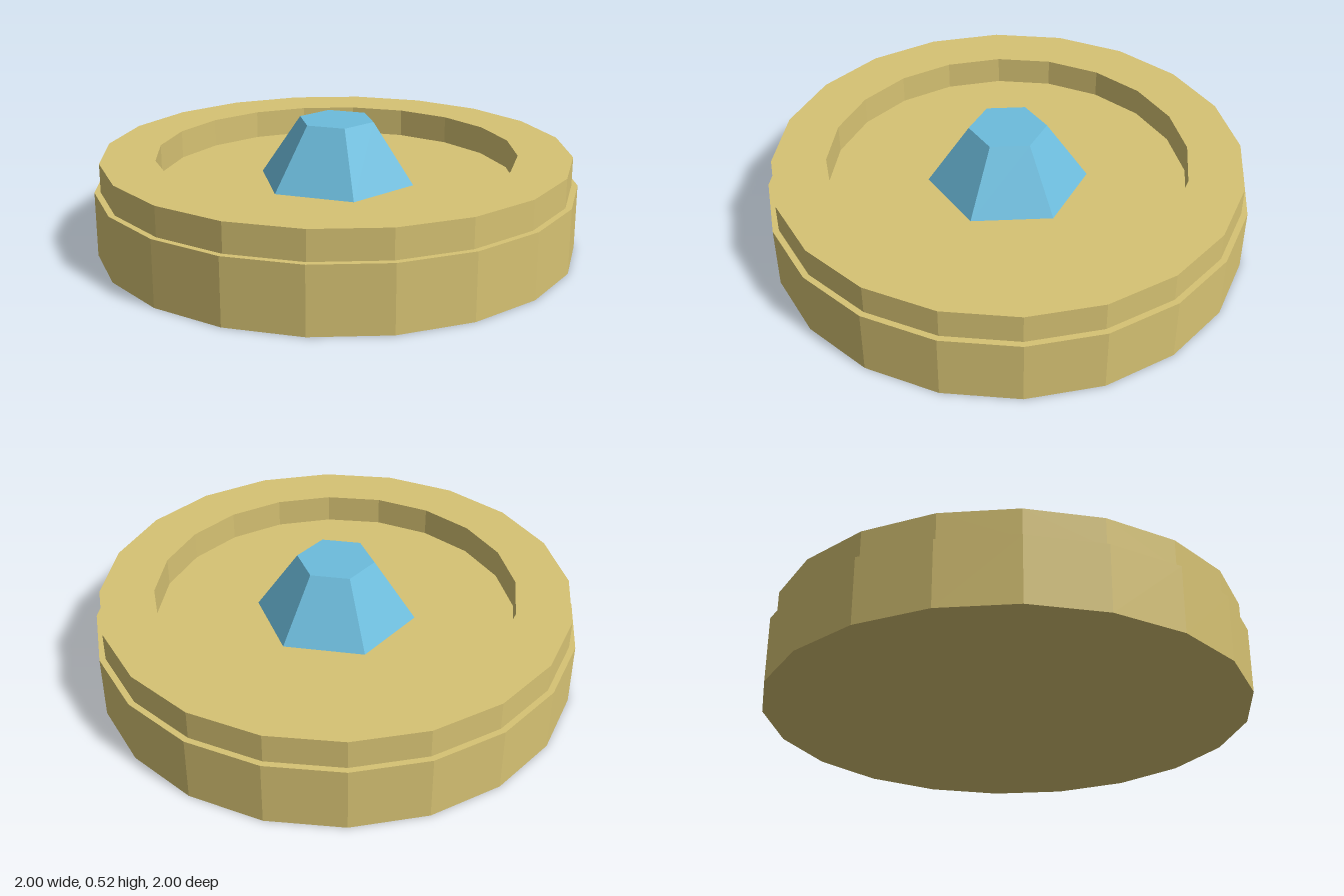
import * as THREE from 'three';

const SIDES = 20;
const FLOOR = 0.27;

function material(name, color) {
  const m = new THREE.MeshStandardMaterial({ color, flatShading: true });
  m.name = name;
  return m;
}

export function createModel() {
  const model = new THREE.Group();
  model.name = 'dish';
  const sand = material('sand', 0xd6c273);
  const blue = material('skyBlue', 0x6cbcdc);

  const add = (name, geometry, mat, y = 0) => {
    const mesh = new THREE.Mesh(geometry, mat);
    mesh.name = name;
    mesh.position.y = y;
    model.add(mesh);
  };

  // solid disc, its top is the floor of the recess
  add('base', new THREE.CylinderGeometry(1, 1, FLOOR, SIDES), sand, FLOOR / 2);

  // raised ring, slightly set back from the base edge
  const rim = [[0.975, FLOOR], [0.975, 0.39], [0.75, 0.39], [0.75, FLOOR]]
    .map(([r, y]) => new THREE.Vector2(r, y));
  add('rim', new THREE.LatheGeometry(rim, SIDES), sand);

  // six-sided tapered knob standing on the floor
  const height = 0.255;
  add('knob', new THREE.CylinderGeometry(0.16, 0.333, height, 6), blue, FLOOR + height / 2);

  return model;
}
